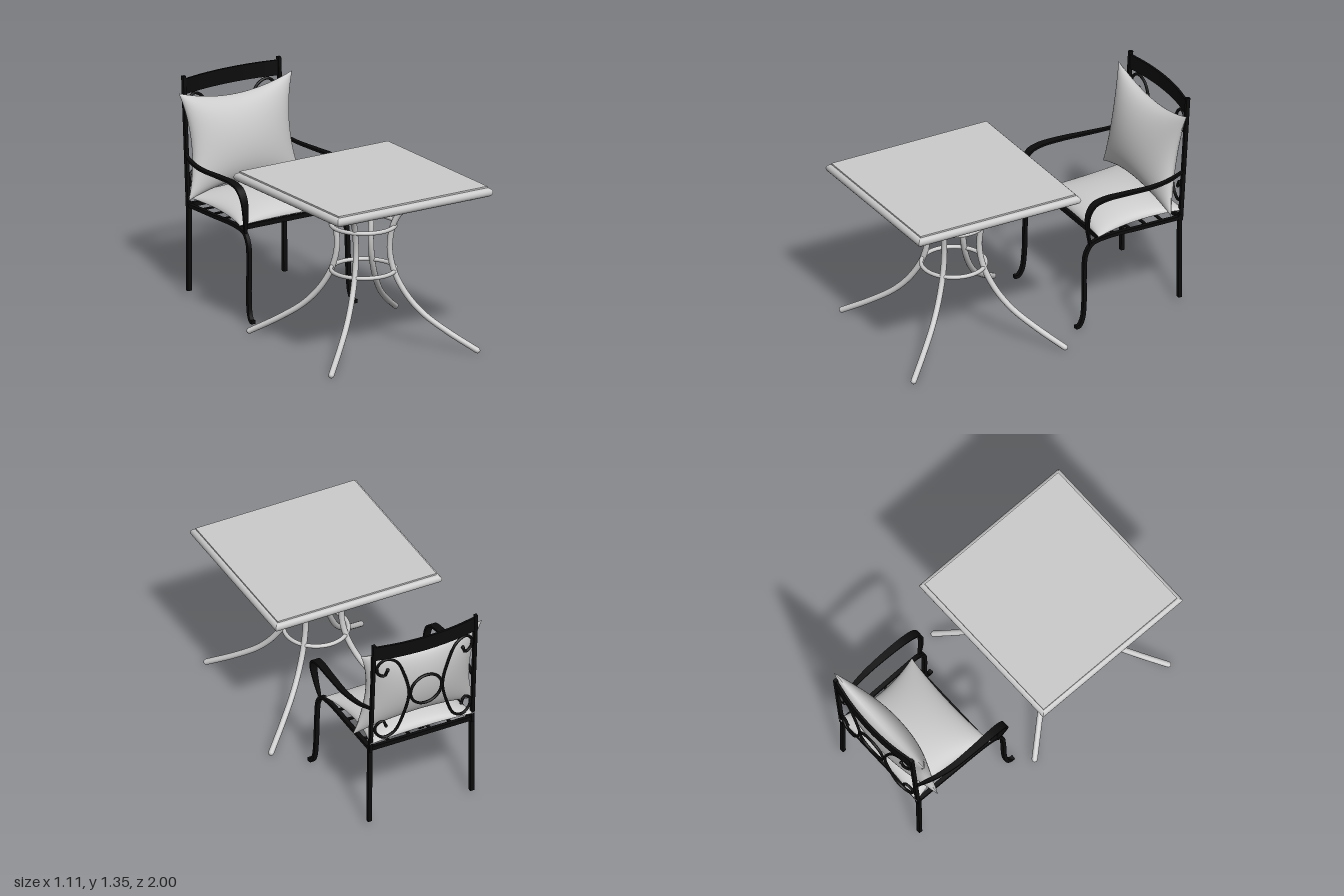
import * as THREE from 'three';
import { toCreasedNormals } from 'three/addons/utils/BufferGeometryUtils.js';

const grey = new THREE.MeshStandardMaterial({ color: 0xcccccc });
const iron = new THREE.MeshStandardMaterial({ color: 0x0c0c0c });
const V = (x, y, z) => new THREE.Vector3(x, y, z);
const X = V(1, 0, 0), Y = V(0, 1, 0), Z = V(0, 0, 1);

function add(parent, name, geometry, material) {
  const mesh = new THREE.Mesh(geometry, material);
  mesh.name = name;
  parent.add(mesh);
  return mesh;
}

function tube(points, radius, segments = 48, sides = 12) {
  return new THREE.TubeGeometry(new THREE.CatmullRomCurve3(points), segments, radius, sides);
}

// Round end caps for a tube path
function capEnds(parent, name, points, radius, material) {
  for (const p of [points[0], points[points.length - 1]]) {
    add(parent, name, new THREE.SphereGeometry(radius, 12, 8), material).position.copy(p);
  }
}

// Flat bar swept along a path; width(t) lies along the given axis
function bar(points, width, thickness, axis = X, segments = 1) {
  const curve = points.length === 2
    ? new THREE.LineCurve3(...points) : new THREE.CatmullRomCurve3(points);
  const pos = [], index = [];
  for (let i = 0; i <= segments; i++) {
    const t = i / segments, p = curve.getPoint(t), T = curve.getTangent(t);
    const W = axis.clone().addScaledVector(T, -axis.dot(T)).normalize();
    const N = T.clone().cross(W);
    const w = (typeof width === 'function' ? width(t) : width) / 2, h = thickness / 2;
    for (const [a, b] of [[1, 1], [-1, 1], [-1, -1], [1, -1]]) {
      pos.push(...p.clone().addScaledVector(W, a * w).addScaledVector(N, b * h).toArray());
    }
    for (let j = 0; i < segments && j < 4; j++) {
      const a = i * 4 + j, b = i * 4 + (j + 1) % 4;
      index.push(a, b, b + 4, a, b + 4, a + 4);
    }
  }
  const e = segments * 4;
  index.push(0, 2, 1, 0, 3, 2, e, e + 1, e + 2, e, e + 2, e + 3);
  const g = new THREE.BufferGeometry();
  g.setAttribute('position', new THREE.Float32BufferAttribute(pos, 3));
  g.setIndex(index);
  return toCreasedNormals(g, 0.7);
}

// Pillow with pinched corners, lying in xz with its thickness along y
function pillow(hx, hz, pinchX, pinchZ, top, bottom) {
  const n = 28, pos = [], index = [];
  for (const side of [1, -1]) {
    const base = pos.length / 3;
    for (let i = 0; i <= n; i++) {
      for (let j = 0; j <= n; j++) {
        const u = -Math.cos(Math.PI * i / n), v = -Math.cos(Math.PI * j / n);
        const puff = Math.pow(Math.max(0, (1 - u * u) * (1 - v * v)), 0.5);
        pos.push(hx * u * (1 - pinchX * (1 - v * v)),
          side > 0 ? top * puff : -bottom * puff,
          hz * v * (1 - pinchZ * (1 - u * u)));
        if (i < n && j < n) {
          const a = base + i * (n + 1) + j, b = a + 1, c = a + n + 2, d = a + n + 1;
          if (side > 0) index.push(a, b, c, a, c, d);
          else index.push(a, c, b, a, d, c);
        }
      }
    }
  }
  const g = new THREE.BufferGeometry();
  g.setAttribute('position', new THREE.Float32BufferAttribute(pos, 3));
  g.setIndex(index);
  g.computeVertexNormals();
  return g;
}

function createTable() {
  const table = new THREE.Group();
  table.name = 'table';
  table.position.z = 0.446;

  // Square rounded rim: a four-sided lathe of a circular profile
  const profile = [];
  for (let i = 0; i <= 16; i++) {
    const a = i / 16 * Math.PI * 2;
    profile.push(new THREE.Vector2((0.525 + 0.028 * Math.cos(a)) * Math.SQRT2, 0.983 + 0.028 * Math.sin(a)));
  }
  const rim = new THREE.LatheGeometry(profile, 4).rotateY(Math.PI / 4);
  add(table, 'tableRim', toCreasedNormals(rim, 0.7), grey);
  add(table, 'tableTop', new THREE.BoxGeometry(1.056, 0.022, 1.056), grey).position.y = 1.009;

  // Four splayed legs, slightly turned from the diagonals
  const leg = [[0.70, 0.016], [0.52, 0.115], [0.37, 0.215], [0.27, 0.32], [0.195, 0.45], [0.163, 0.58],
    [0.17, 0.70], [0.2, 0.79], [0.26, 0.865], [0.36, 0.92], [0.5, 0.95], [0.66, 0.962]]
    .map(([r, y]) => V(r, y, 0));
  for (let k = 0; k < 4; k++) {
    const g = new THREE.Group();
    g.name = 'tableLeg';
    g.rotation.y = -Math.atan2(0.54, 0.46) + k * Math.PI / 2;
    add(g, 'legTube', tube(leg, 0.018, 64), grey);
    capEnds(g, 'legEnd', leg, 0.0175, grey);
    table.add(g);
  }
  for (const y of [0.74, 0.462]) {
    const ring = new THREE.TorusGeometry(0.192, 0.013, 12, 64).rotateX(Math.PI / 2);
    add(table, 'legRing', ring, grey).position.y = y;
  }
  return table;
}

function createChair() {
  const chair = new THREE.Group();
  chair.name = 'chair';
  // Depth of the curved, leaning backrest at a given point
  const backZ = (x, y) => -0.912 - 0.055 * (y - 0.58) - 0.04 * (1 - (x / 0.34) ** 2);

  for (const s of [1, -1]) {
    // Back leg and leaning post
    add(chair, 'backLeg', bar([V(s * 0.34, 0.03, -0.896), V(s * 0.338, 0.58, -0.9)], 0.026, 0.022), iron);
    add(chair, 'backPost', bar([V(s * 0.338, 0.54, -0.906), V(s * 0.338, 1.345, -0.956)], 0.02, 0.024), iron);

    // Side rail bending down into the front leg
    const rail = [[0.335, 0.558, -0.91], [0.337, 0.562, -0.65], [0.34, 0.565, -0.4], [0.344, 0.548, -0.3],
      [0.347, 0.49, -0.256], [0.35, 0.36, -0.243], [0.354, 0.18, -0.24], [0.358, 0.07, -0.226],
      [0.362, 0.03, -0.2], [0.364, 0.028, -0.175]];
    add(chair, 'frontLeg', bar(rail.map(([x, y, z]) => V(s * x, y, z)), 0.026, 0.022, X, 60), iron);

    // Armrest, broad at the front and slim at both ends
    const arm = [[0.345, 0.868, -0.925], [0.37, 0.848, -0.82], [0.39, 0.843, -0.68], [0.394, 0.85, -0.5],
      [0.39, 0.848, -0.36], [0.386, 0.825, -0.29], [0.38, 0.765, -0.255], [0.368, 0.67, -0.256], [0.352, 0.55, -0.28]];
    const armWidth = t => 0.016 + 0.034 * Math.pow(Math.sin(Math.PI * Math.pow(t, 1.3)), 0.8);
    add(chair, 'armrest', bar(arm.map(([x, y, z]) => V(s * x, y, z)), armWidth, 0.014, X, 60), iron);

    // C-shaped scroll of the backrest, mirrored about its middle height
    const half = [[0.25, 1.14], [0.27, 1.1], [0.31, 1.125], [0.312, 1.18], [0.265, 1.222],
      [0.2, 1.195], [0.145, 1.08]];
    const scroll = [...half, [0.112, 0.93], ...half.map(([x, y]) => [x, 1.86 - y]).reverse()]
      .map(([x, y]) => V(s * x, y, backZ(x, y)));
    add(chair, 'backScroll', tube(scroll, 0.009, 90, 8), iron);
    capEnds(chair, 'scrollEnd', scroll, 0.011, iron);
  }

  // Ring between the scrolls
  const ring = add(chair, 'backRing', new THREE.TorusGeometry(0.103, 0.009, 8, 40), iron);
  ring.position.set(0, 0.93, backZ(0, 0.93));
  ring.rotation.x = -0.055;

  // Bowed top rail
  const top = [-0.335, -0.17, 0, 0.17, 0.335].map(x => V(x, 1.28, backZ(x, 1.28)));
  add(chair, 'topRail', bar(top, 0.094, 0.014, Y, 24), iron);

  // Seat frame and its lattice
  for (const z of [-0.36, -0.9]) {
    add(chair, 'seatRail', bar([V(-0.34, 0.56, z), V(0.34, 0.56, z)], 0.022, 0.028, Z), iron);
  }
  for (let i = 1; i <= 4; i++) {
    const x = -0.34 + 0.136 * i, z = -0.36 - 0.108 * i;
    add(chair, 'seatSlatLong', bar([V(x, 0.562, -0.36), V(x, 0.562, -0.9)], 0.02, 0.008), iron);
    add(chair, 'seatSlatCross', bar([V(-0.34, 0.556, z), V(0.34, 0.556, z)], 0.02, 0.008, Z), iron);
  }

  // Cushions
  const seat = add(chair, 'seatCushion', pillow(0.35, 0.293, 0.13, 0.07, 0.092, 0.018), grey);
  seat.position.set(0, 0.594, -0.635);
  seat.rotation.x = 0.05;
  const back = add(chair, 'backCushion', pillow(0.403, 0.323, 0.15, 0.21, 0.112, 0.092), grey);
  back.position.set(0, 0.94, -0.858);
  back.rotation.x = Math.PI / 2 - 0.165;
  return chair;
}

export function createModel() {
  const model = new THREE.Group();
  model.name = 'patioSet';
  model.add(createTable(), createChair());
  return model;
}
